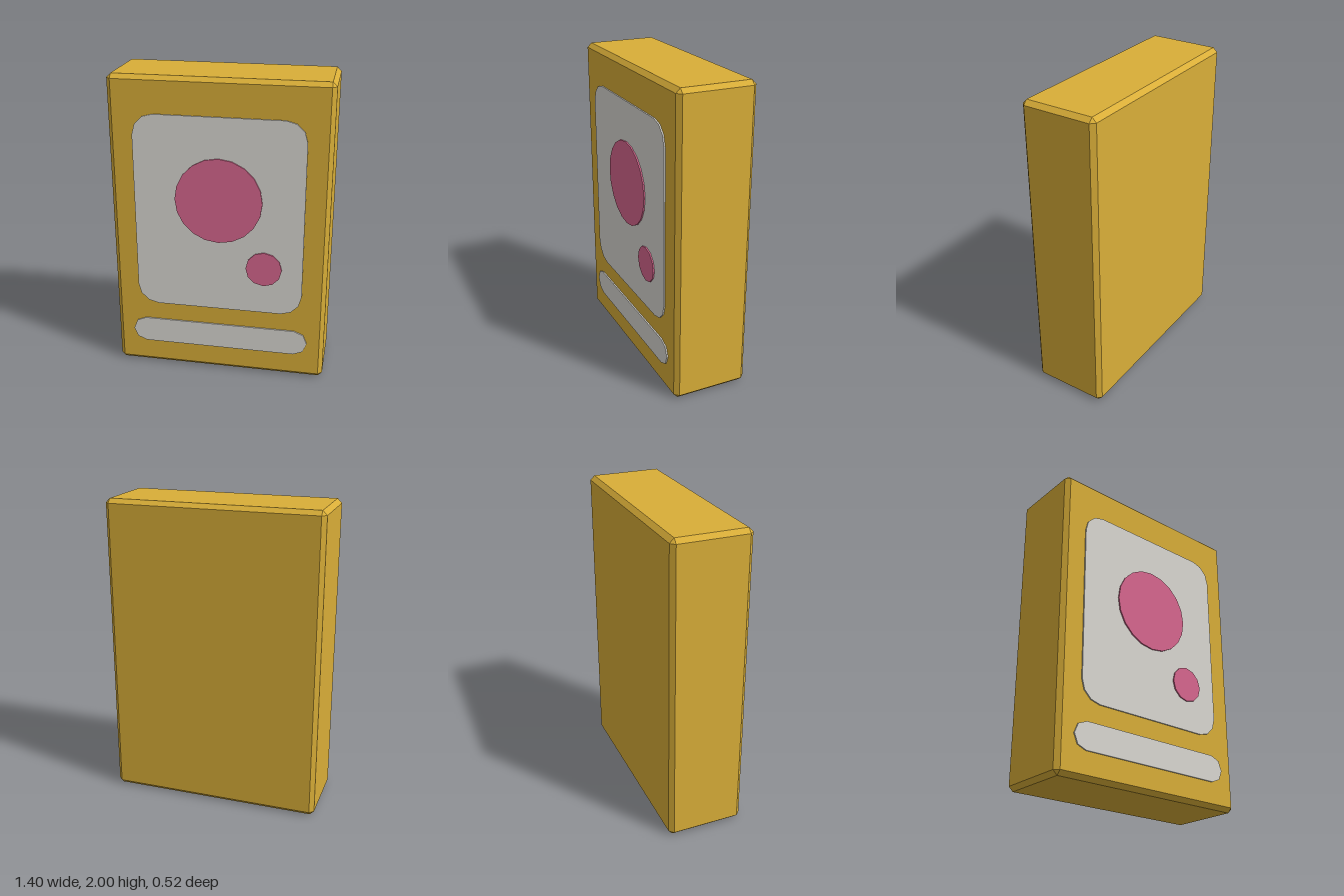
import * as THREE from 'three';
import { ConvexGeometry } from 'three/addons/geometries/ConvexGeometry.js';

const material = (name, color) => {
  const m = new THREE.MeshStandardMaterial({ color });
  m.name = name;
  return m;
};

// Box with flat chamfers on every edge: three corner points per box corner
function chamferedBox(w, h, d, c) {
  const points = [];
  for (const x of [-1, 1]) for (const y of [-1, 1]) for (const z of [-1, 1]) {
    for (let axis = 0; axis < 3; axis++) {
      const inset = [c, c, c];
      inset[axis] = 0;
      points.push(new THREE.Vector3(
        x * (w / 2 - inset[0]), y * (h / 2 - inset[1]), z * (d / 2 - inset[2])));
    }
  }
  return new ConvexGeometry(points);
}

// Rectangle outline with faceted round corners; a full radius gives a circle or capsule
function roundedOutline(w, h, r, steps) {
  const points = [];
  [[1, 1], [-1, 1], [-1, -1], [1, -1]].forEach(([sx, sy], corner) => {
    for (let i = 0; i <= steps; i++) {
      const a = (corner + i / steps) * Math.PI / 2;
      const p = new THREE.Vector2(
        sx * (w / 2 - r) + r * Math.cos(a), sy * (h / 2 - r) + r * Math.sin(a));
      const last = points[points.length - 1];
      if (!last || last.distanceTo(p) > 1e-5) points.push(p);
    }
  });
  if (points[0].distanceTo(points[points.length - 1]) < 1e-5) points.pop();
  return new THREE.Shape(points);
}

export function createModel() {
  const group = new THREE.Group();
  const gold = material('gold', 0xd9ae38);
  const paleGrey = material('pale grey', 0xdad8d2);
  const pink = material('pink', 0xd8678f);

  const add = (name, geometry, mat, x, y, z) => {
    const mesh = new THREE.Mesh(geometry, mat);
    mesh.name = name;
    mesh.position.set(x, y, z);
    group.add(mesh);
  };
  const plate = (outline) =>
    new THREE.ExtrudeGeometry(outline, { depth: 0.009, bevelEnabled: false });

  // Case
  add('case', chamferedBox(1.4, 2, 0.502, 0.028), gold, 0, 1, -0.009);

  // Front panels
  add('mainPanel', plate(roundedOutline(1.09, 1.3, 0.135, 3)), paleGrey, 0, 1.115, 0.242);
  add('lowerStrip', plate(roundedOutline(1.18, 0.174, 0.087, 2)), paleGrey, 0, 0.255, 0.242);

  // Round discs on the main panel
  add('largeDisc', plate(roundedOutline(0.56, 0.56, 0.28, 5)), pink, 0, 1.225, 0.251);
  add('smallDisc', plate(roundedOutline(0.234, 0.234, 0.117, 3)), pink, 0.295, 0.78, 0.251);

  return group;
}
